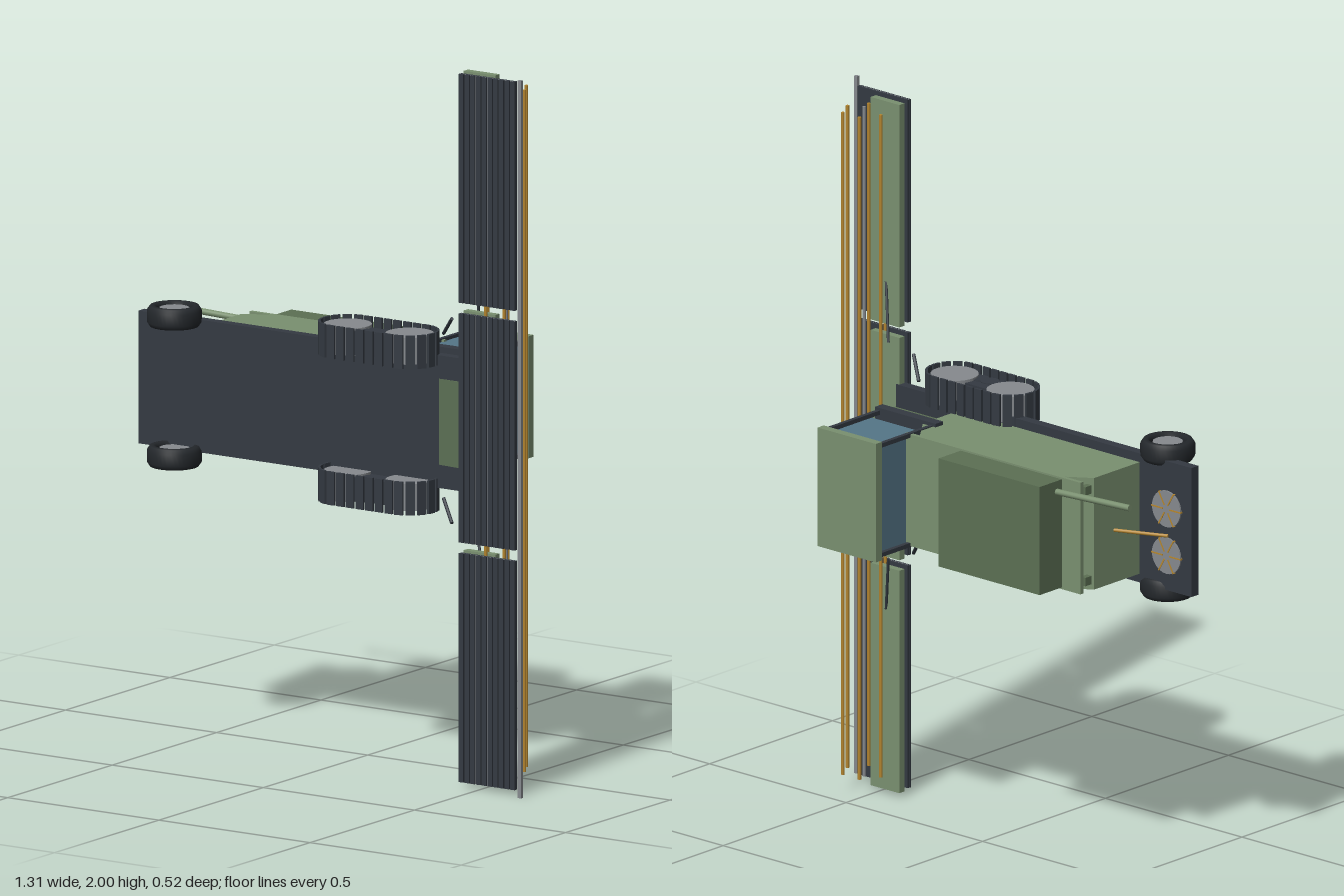
import * as THREE from 'three';

const mat = (name, color, side = THREE.FrontSide) => {
  const m = new THREE.MeshStandardMaterial({ color, side });
  m.name = name;
  return m;
};

export function createModel() {
  const green = mat('body green', 0x7a9070);
  const darkGreen = mat('tank green', 0x5c7054);
  const slate = mat('dark slate', 0x343a42);
  const rubber = mat('tyre black', 0x24282c);
  const glass = mat('cab glass', 0x557688);
  const grey = mat('metal grey', 0x868a8e);
  const amber = mat('amber', 0xb5862f);

  const model = new THREE.Group();
  model.name = 'harvester';
  // Machine frame: x forward, y up, z sideways; it rests on its side
  const machine = new THREE.Group();
  machine.name = 'machine';
  machine.rotation.x = -Math.PI / 2;
  machine.position.y = 1;
  model.add(machine);

  const add = (name, geo, m, x = 0, y = 0, z = 0, parent = machine) => {
    const mesh = new THREE.Mesh(geo, m);
    mesh.name = name;
    mesh.position.set(x, y, z);
    parent.add(mesh);
    return mesh;
  };
  // Box given by its limits on each axis
  const box = (name, m, x0, x1, y0, y1, z0, z1, parent) =>
    add(name, new THREE.BoxGeometry(x1 - x0, y1 - y0, z1 - z0), m,
      (x0 + x1) / 2, (y0 + y1) / 2, (z0 + z1) / 2, parent);
  // Round rod between two points
  const rod = (name, m, a, b, r, sides = 8) => {
    const p = new THREE.Vector3(...a), q = new THREE.Vector3(...b);
    const d = q.clone().sub(p);
    const mesh = add(name, new THREE.CylinderGeometry(r, r, d.length(), sides), m);
    mesh.position.copy(p).add(q).multiplyScalar(0.5);
    mesh.quaternion.setFromUnitVectors(new THREE.Vector3(0, 1, 0), d.normalize());
    return mesh;
  };
  // Cylinder with its axis across the machine
  const disc = (name, m, r, w, x, y, z, sides = 32) => {
    const g = new THREE.CylinderGeometry(r, r, w, sides).rotateX(Math.PI / 2);
    return add(name, g, m, x, y, z);
  };

  // Chassis and body
  box('chassis', slate, -0.653, 0.43, -0.153, -0.125, -0.185, 0.185);
  const profile = new THREE.Shape([
    [-0.463, -0.125], [0.2, -0.125], [0.2, 0.02], [0.135, 0.105], [-0.395, 0.105], [-0.463, 0.06],
  ].map(p => new THREE.Vector2(...p)));
  add('body', new THREE.ExtrudeGeometry(profile, { depth: 0.32, bevelEnabled: false }), green, 0, 0, -0.16);
  box('bodyDeck', green, -0.463, 0.18, 0.104, 0.116, -0.16, 0.16);
  box('grainTank', darkGreen, -0.395, -0.025, 0.09, 0.206, -0.155, 0.155);
  box('frontGrille', slate, 0.2, 0.207, -0.06, 0.02, -0.1, 0.1);
  rod('unloadingPipe', green, [-0.657, 0.13, 0.134], [-0.39, 0.136, 0.124], 0.009, 12);
  for (const s of [-1, 1]) box('rearLamp', darkGreen, -0.463, -0.445, 0.07, 0.095, s * 0.13 - 0.012, s * 0.13 + 0.012);

  // Cab
  box('cabFloor', slate, 0.15, 0.372, -0.006, 0.024, -0.17, 0.17);
  box('cabConsole', slate, 0.21, 0.277, 0.024, 0.066, -0.08, 0.08);
  box('cabGlass', glass, 0.175, 0.346, 0.066, 0.232, -0.155, 0.155);
  box('cabRoof', green, 0.155, 0.368, 0.237, 0.262, -0.17, 0.17);
  for (const x of [0.166, 0.36])
    for (const z of [-0.157, 0.157])
      box('cabPost', slate, x - 0.006, x + 0.006, 0.024, 0.237, z - 0.006, z + 0.006);

  // Rear wheels
  const tyre = new THREE.LatheGeometry([
    [0.047, -0.02], [0.056, -0.03], [0.067, -0.028], [0.075, -0.016],
    [0.075, 0.016], [0.067, 0.028], [0.056, 0.03], [0.047, 0.02], [0.047, -0.02],
  ].map(p => new THREE.Vector2(...p)), 40).rotateX(Math.PI / 2);
  for (const s of [-1, 1]) {
    add('rearTyre', tyre, rubber, -0.512, -0.185, s * 0.195);
    disc('rearHub', grey, 0.041, 0.044, -0.512, -0.185, s * 0.195);
  }

  // Crawler tracks
  const cx = [0.055, 0.26], cy = -0.175, R = 0.077;
  const straight = cx[1] - cx[0], arc = Math.PI * R, total = 2 * (straight + arc);
  // Point and slope at a distance along the track loop
  const trackPoint = d => {
    const back = d >= straight + arc;
    let t = back ? d - straight - arc : d;
    const f = back ? -1 : 1;
    const mid = (cx[0] + cx[1]) / 2;
    if (t < straight) return [mid + f * (t - straight / 2), cy + f * R, 0];
    const a = (t - straight) / R;
    return [mid + f * (straight / 2 + Math.sin(a) * R), cy + f * Math.cos(a) * R, -a];
  };
  const pads = 28;
  const padGeo = new THREE.BoxGeometry(0.025, 0.007, 0.093);
  for (const s of [-1, 1]) {
    const z = s * 0.204;
    for (const x of cx) disc('trackWheel', grey, 0.066, 0.075, x, cy, z);
    for (const x of [0.12, 0.157, 0.195]) disc('trackRoller', slate, 0.026, 0.065, x, -0.204, z, 16);
    box('trackBeam', slate, 0.115, 0.2, -0.2, -0.15, z - 0.03, z + 0.03);
    for (let i = 0; i < pads; i++) {
      const [x, y, a] = trackPoint((i + 0.5) * total / pads);
      add('trackPad', padGeo, slate, x, y, z).rotation.z = a;
    }
    // Struts ahead of the tracks and behind the header
    rod('trackStrut', slate, [0.31, -0.085, 0.23 * s], [0.365, -0.125, 0.285 * s], 0.005);
    rod('headerBrace', slate, [0.435, -0.1, 0.31 * s], [0.47, -0.13, 0.47 * s], 0.004);
  }

  // Feeder house and its shaft
  const feeder = add('feeder', new THREE.BoxGeometry(0.155, 0.094, 0.24), darkGreen, 0.356, -0.107, 0);
  feeder.rotation.z = -0.085;
  rod('feederShaft', amber, [0.195, -0.077, 0], [0.48, -0.17, 0], 0.005);

  // Header: three sections of slatted belt with a green back sheet
  for (const zc of [-0.668, 0, 0.668]) {
    const z0 = zc - 0.319, z1 = zc + 0.319;
    box('headerSheet', green, 0.42, 0.525, -0.149, -0.128, z0, z1);
    box('headerDeck', slate, 0.432, 0.615, -0.181, -0.175, z0, z1);
    box('headerUnderside', grey, 0.434, 0.613, -0.183, -0.181, z0, z1);
    for (let i = 0; i < 10; i++) {
      const x = 0.4385 + i * 0.0189;
      box('headerSlat', slate, x - 0.0075, x + 0.0075, -0.188, -0.182, z0, z1);
    }
  }
  box('cutterBar', grey, 0.645, 0.656, -0.215, -0.205, -1, 1);

  // Reel
  const rx = 0.537, ry = -0.115;
  rod('reelShaft', grey, [rx, ry, -0.96], [rx, ry, 0.96], 0.005);
  for (let i = 0; i < 6; i++) {
    const a = i * Math.PI / 3, x = rx + 0.061 * Math.cos(a), y = ry + 0.061 * Math.sin(a);
    rod('reelBar', amber, [x, y, -0.95], [x, y, 0.95], 0.005);
  }

  // Straw spreaders at the back
  rod('spreaderArm', amber, [-0.455, -0.02, -0.01], [-0.605, -0.083, -0.01], 0.005);
  for (const s of [-1, 1]) {
    const spreader = new THREE.Group();
    spreader.name = 'spreader';
    spreader.position.set(-0.6, -0.083, s * 0.067);
    machine.add(spreader);
    add('spreaderDisc', new THREE.CylinderGeometry(0.052, 0.052, 0.005, 24), grey, 0, 0, 0, spreader);
    for (let i = 0; i < 6; i++) {
      const vane = box('spreaderVane', amber, 0.012, 0.054, -0.004, 0.004, -0.002, 0.002, spreader);
      vane.geometry.translate(0.033, 0, 0);
      vane.position.set(0, 0, 0);
      vane.rotation.y = i * Math.PI / 3;
    }
  }
  return model;
}
